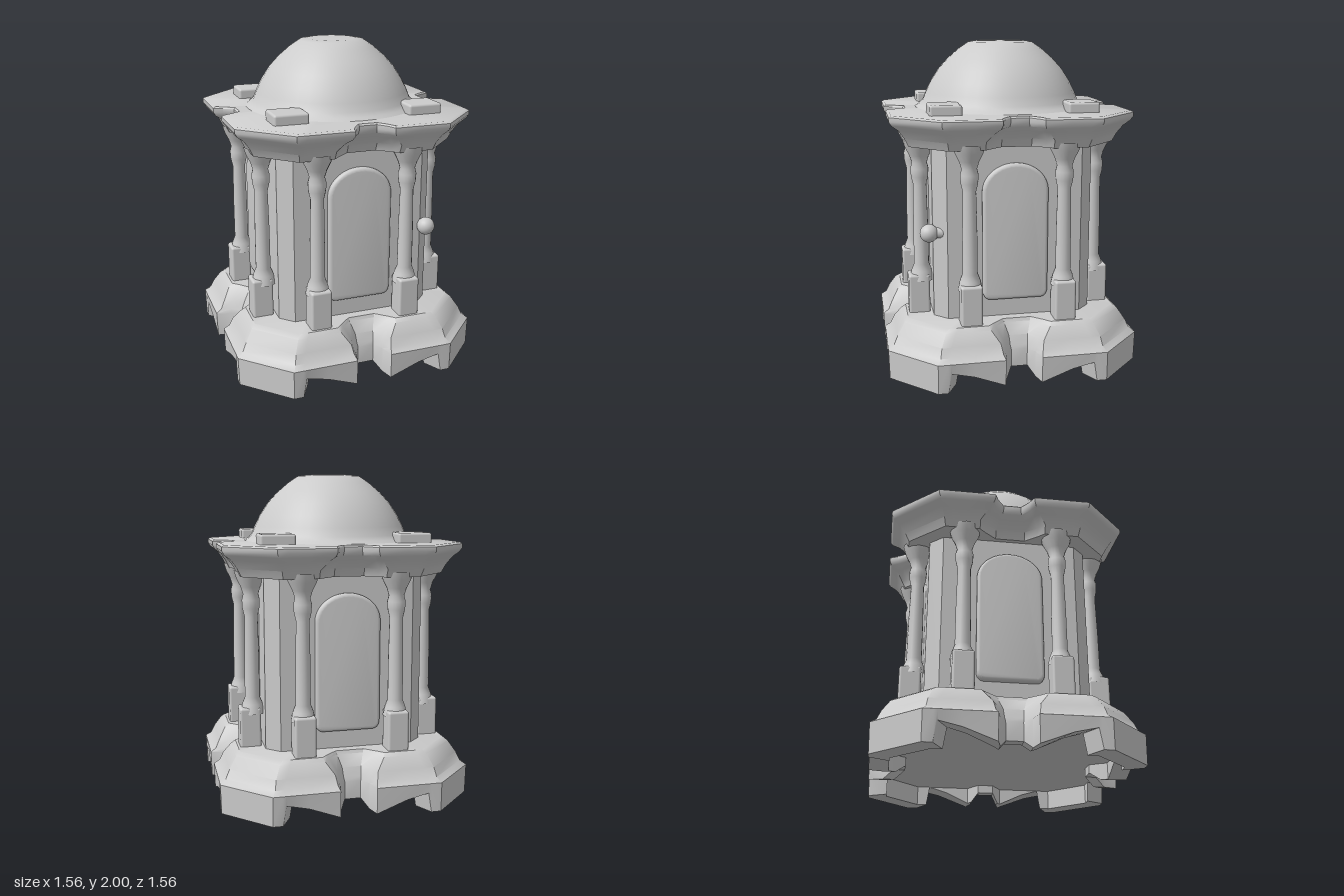
import * as THREE from 'three';
import { toCreasedNormals } from 'three/addons/utils/BufferGeometryUtils.js';
import { RoundedBoxGeometry } from 'three/addons/geometries/RoundedBoxGeometry.js';

const material = new THREE.MeshStandardMaterial({ color: 0xcccccc });

function add(parent, name, geometry, x = 0, y = 0, z = 0) {
  const mesh = new THREE.Mesh(geometry, material);
  mesh.name = name;
  mesh.position.set(x, y, z);
  parent.add(mesh);
  return mesh;
}

// Height of the foot edge at each point of half a side, corner to notch
const FOOT = [0, 0, 0.12, 0.09, 0.02, 0.02, 0.07];

// Chamfered square with a rounded notch in each side.
// e: half extent, c: chamfer start, w: notch half width, d: notch floor
function outline(e, c, w, d, y) {
  const f = c - 0.06;
  const half = [[c, e], [f, e], [f - 0.02, e], [0.55 * f + 0.45 * w, e], [w, e], [0.8 * w, d + 0.06], [0.45 * w, d]];
  const side = half.map(([x, z], i) => [-x, y === 'foot' ? FOOT[i] : y, z]);
  side.push(...side.map(([x, h, z]) => [-x, h, z]).reverse());
  const ring = [];
  for (let k = 0; k < 4; k++) {
    const cos = [1, 0, -1, 0][k], sin = [0, 1, 0, -1][k];
    side.forEach(([x, h, z]) => ring.push([x * cos + z * sin, h, z * cos - x * sin]));
  }
  return ring;
}

// Skin between outlines, closed to the axis at both ends
function loft(y0, layers, y1) {
  const rings = layers.map((l) => outline(...l));
  const n = rings[0].length;
  rings.unshift(rings[0].map(() => [0, y0, 0]));
  rings.push(rings[0].map(() => [0, y1, 0]));
  const index = [];
  for (let j = 0; j < rings.length - 1; j++) {
    for (let i = 0; i < n; i++) {
      const a = j * n + i, b = j * n + (i + 1) % n;
      if (j < rings.length - 2) index.push(a, b, b + n, a, b + n, a + n);
      else index.push(a, b, a + n);
    }
  }
  const geometry = new THREE.BufferGeometry();
  geometry.setAttribute('position', new THREE.Float32BufferAttribute(rings.flat(2), 3));
  geometry.setIndex(index);
  return toCreasedNormals(geometry, 0.65);
}

function lathe(points, segments) {
  return new THREE.LatheGeometry(points.map(([r, y]) => new THREE.Vector2(r, y)), segments);
}

export function createModel() {
  const model = new THREE.Group();
  model.name = 'domedPavilion';

  // Stepped plinth with arched feet and a hollow underside
  add(model, 'plinth', loft(0.12, [
    [0.66, 0.45, 0.11, 0.56, 0.12],
    [0.66, 0.45, 0.11, 0.56, 'foot'],
    [0.775, 0.51, 0.11, 0.63, 'foot'],
    [0.78, 0.51, 0.11, 0.63, 0.18],
    [0.745, 0.49, 0.12, 0.62, 0.205],
    [0.72, 0.48, 0.13, 0.6, 0.26],
    [0.675, 0.45, 0.18, 0.56, 0.33],
    [0.65, 0.43, 0.19, 0.55, 0.35],
  ], 0.35));

  // Flared cornice and flat roof
  add(model, 'cornice', loft(1.4, [
    [0.62, 0.41, 0.2, 0.52, 1.4],
    [0.645, 0.42, 0.2, 0.54, 1.45],
    [0.68, 0.44, 0.16, 0.58, 1.5],
    [0.72, 0.45, 0.13, 0.61, 1.53],
    [0.735, 0.46, 0.12, 0.62, 1.555],
    [0.735, 0.46, 0.12, 0.62, 1.58],
    [0.72, 0.45, 0.125, 0.61, 1.59],
  ], 1.59));

  // Eight-sided core
  const c = 0.41, e = 0.49;
  const plan = new THREE.Shape([[c, e], [-c, e], [-e, c], [-e, -c], [-c, -e], [c, -e], [e, -c], [e, c]]
    .map(([x, y]) => new THREE.Vector2(x, y)));
  const core = new THREE.ExtrudeGeometry(plan, { depth: 1.1, bevelEnabled: false });
  core.rotateX(-Math.PI / 2);
  add(model, 'coreWalls', core, 0, 0.33, 0);

  // Arched panel outline
  const arch = new THREE.Shape();
  arch.moveTo(-0.15, 0.48);
  arch.lineTo(0.15, 0.48);
  arch.quadraticCurveTo(0.18, 0.48, 0.18, 0.52);
  arch.lineTo(0.18, 1.13);
  arch.absellipse(0, 1.13, 0.18, 0.15, 0, Math.PI, false);
  arch.lineTo(-0.18, 0.52);
  arch.quadraticCurveTo(-0.18, 0.48, -0.15, 0.48);
  const panel = toCreasedNormals(new THREE.ExtrudeGeometry(arch, {
    depth: 0.03, bevelThickness: 0.02, bevelSize: 0.02, bevelSegments: 3, curveSegments: 20,
  }), 0.6);

  const shaft = lathe([[0.075, 0.55], [0.062, 0.61], [0.046, 0.65], [0.045, 0.9], [0.04, 1.15], [0.052, 1.2],
    [0.055, 1.25], [0.046, 1.285], [0.06, 1.33], [0.085, 1.38], [0.1, 1.43]], 16);
  const pedestal = new RoundedBoxGeometry(0.13, 0.26, 0.13, 2, 0.015);

  // Each side: one panel flanked by two columns on pedestals
  for (let k = 0; k < 4; k++) {
    const side = new THREE.Group();
    side.name = 'side' + (k + 1);
    side.rotation.y = k * Math.PI / 2;
    add(side, 'archedPanel', panel, 0, 0, 0.475);
    for (const s of [-1, 1]) {
      add(side, 'column', shaft, s * 0.285, 0, 0.55);
      add(side, 'pedestal', pedestal, s * 0.285, 0.46, 0.57);
    }
    model.add(side);
  }

  // Door knob on the front left corner
  add(model, 'knob', new THREE.SphereGeometry(0.055, 20, 14), 0.44, 0.88, 0.515);
  const stem = add(model, 'knobStem', new THREE.CylinderGeometry(0.03, 0.035, 0.1, 12), 0.435, 0.88, 0.48);
  stem.rotation.x = Math.PI / 2;

  // Dome with a low skirt and flattened crown
  add(model, 'dome', lathe([[0.55, 1.585], [0.52, 1.605], [0.495, 1.63], [0.475, 1.68], [0.44, 1.75], [0.39, 1.825],
    [0.33, 1.89], [0.26, 1.95], [0.2, 1.99], [0.15, 1.998], [0, 2]], 40));

  // Low blocks on the roof corners
  const block = new RoundedBoxGeometry(0.21, 0.09, 0.19, 2, 0.015);
  for (const x of [-1, 1]) for (const z of [-1, 1]) add(model, 'roofBlock', block, x * 0.415, 1.605, z * 0.41);

  return model;
}
